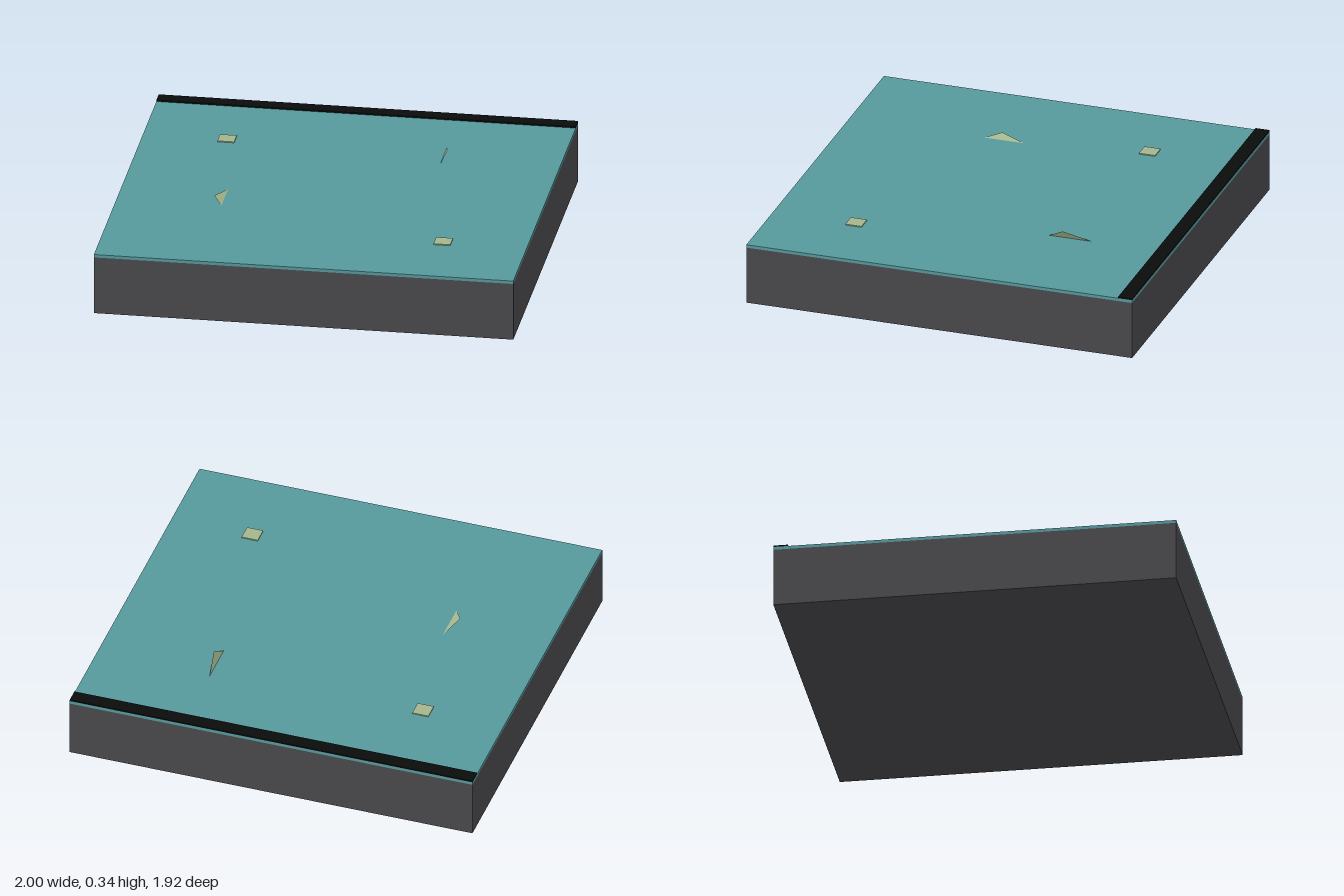
import * as THREE from 'three';

export function createModel() {
  const model = new THREE.Group();
  const material = (name, color, side = THREE.FrontSide) => {
    const m = new THREE.MeshStandardMaterial({ color, side });
    m.name = name;
    return m;
  };
  const stone = material('dark grey', 0x4a494d);
  const teal = material('teal', 0x56999d);
  const black = material('black', 0x0a0c0c);
  const sand = material('pale sage', 0xa4b68c, THREE.DoubleSide);

  const box = (name, mat, w, d, y0, y1, x = 0, z = 0) => {
    const mesh = new THREE.Mesh(new THREE.BoxGeometry(w, y1 - y0, d), mat);
    mesh.position.set(x, (y0 + y1) / 2, z);
    mesh.name = name;
    model.add(mesh);
  };

  // Thick base, thin surface layer and raised strip along the back edge
  box('base', stone, 2, 1.92, 0, 0.285);
  box('surface', teal, 2, 1.92, 0.285, 0.3);
  box('backStrip', black, 2, 0.07, 0.3, 0.307, 0, -0.925);

  // Small flat square pads
  box('leftPad', sand, 0.08, 0.08, 0.3, 0.305, -0.6, -0.5);
  box('rightPad', sand, 0.08, 0.08, 0.3, 0.305, 0.6, 0.55);

  // Thin leaning triangular shards: base line on the surface, one raised tip
  const shard = (name, baseX, z0, z1, tip) => {
    const geometry = new THREE.BufferGeometry().setFromPoints([
      new THREE.Vector3(baseX, 0.3, z0),
      new THREE.Vector3(...tip),
      new THREE.Vector3(baseX, 0.3, z1),
    ]);
    geometry.computeVertexNormals();
    const mesh = new THREE.Mesh(geometry, sand);
    mesh.name = name;
    model.add(mesh);
  };
  shard('rightShard', 0.438, -0.565, -0.355, [0.462, 0.342, -0.43]);
  shard('leftShard', -0.5, 0.29, 0.09, [-0.545, 0.318, 0.215]);

  return model;
}
